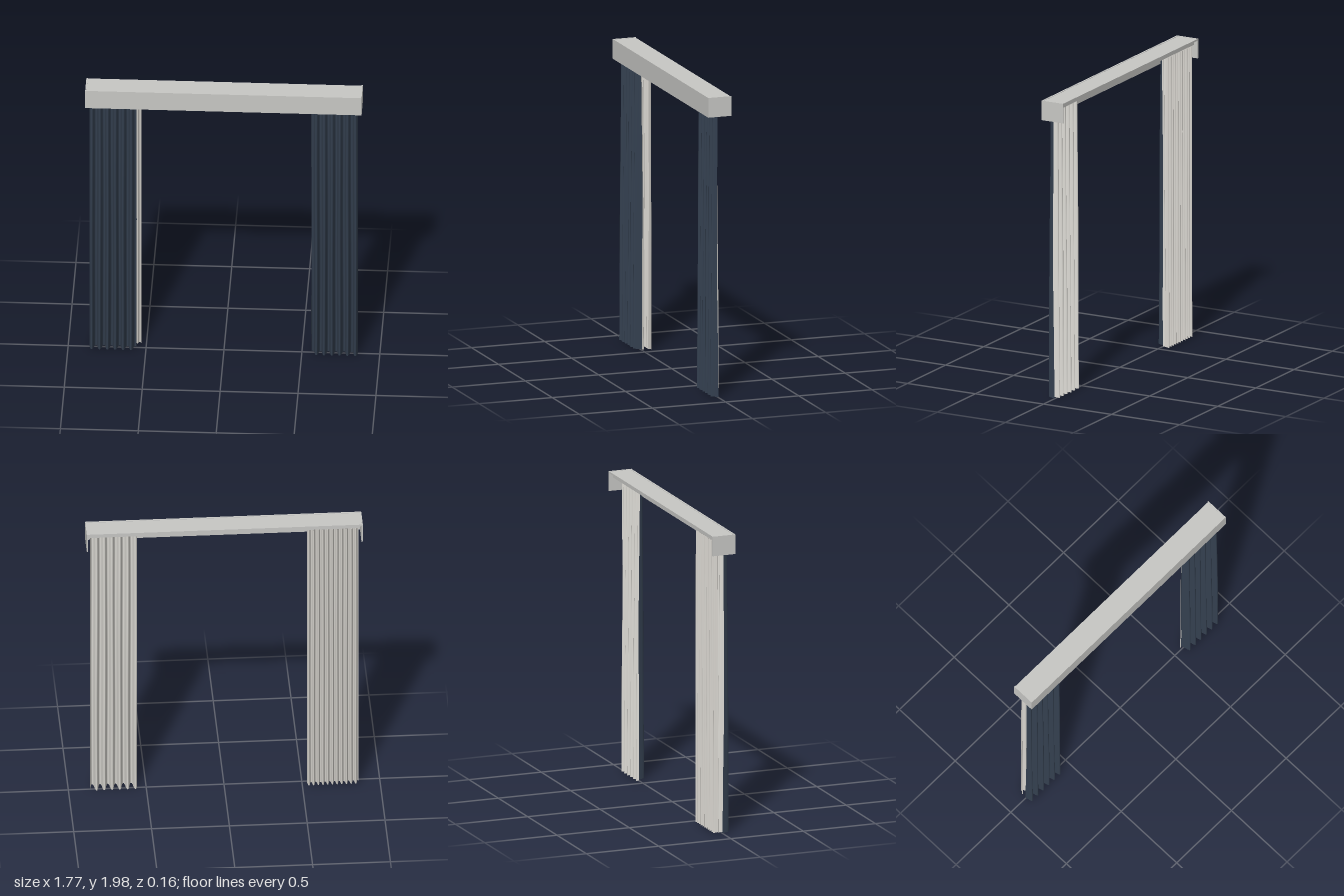
import * as THREE from 'three';

const boxMaterial = new THREE.MeshStandardMaterial({ color: 0xc8c8c5 });
boxMaterial.name = 'pelmet grey';
const fabricMaterial = new THREE.MeshStandardMaterial({ color: 0x344050 });
fabricMaterial.name = 'navy fabric';
const liningMaterial = new THREE.MeshStandardMaterial({ color: 0xdedcd6 });
liningMaterial.name = 'lining white';
const sheerMaterial = new THREE.MeshStandardMaterial({ color: 0xd8d5cf, side: THREE.DoubleSide });
sheerMaterial.name = 'sheer white';

// Pleated sheet between two x positions; the folds deepen towards the hem
function pleatedSheet({ x0, x1, top, bottom, z, depthTop, depthBottom, folds, phase, mirror = false, reverse = false, offset = 0 }) {
  const cols = folds * 10, rows = 14;
  const geo = new THREE.PlaneGeometry(1, 1, cols, rows);
  const pos = geo.attributes.position;
  for (let i = 0; i < pos.count; i++) {
    const u = pos.getX(i) + 0.5;
    const d = 0.5 - pos.getY(i);
    const t = mirror ? 1 - u : u;
    const a = t * folds * Math.PI * 2 + phase;
    const drift = Math.sin(Math.PI * d) * 0.25 * Math.sin(t * 9 + d * 4);
    const wave = Math.sin(a + drift) + 0.08 * Math.sin(3 * a);
    const depth = THREE.MathUtils.lerp(depthTop, depthBottom, d);
    const hem = d * 0.004 * (1 + Math.sin(a));
    pos.setXYZ(i, THREE.MathUtils.lerp(x0, x1, u), THREE.MathUtils.lerp(top, bottom, d) + hem, z + offset + depth * wave);
  }
  if (reverse) {
    const index = geo.index;
    for (let i = 0; i < index.count; i += 3) {
      const b = index.getX(i + 1);
      index.setX(i + 1, index.getX(i + 2));
      index.setX(i + 2, b);
    }
  }
  geo.computeVertexNormals();
  return geo;
}

function addMesh(parent, name, geo, material) {
  const mesh = new THREE.Mesh(geo, material);
  mesh.name = name;
  parent.add(mesh);
  return mesh;
}

// Box given by its minimum and maximum corners
function addBox(parent, name, [ax, ay, az], [bx, by, bz]) {
  const mesh = addMesh(parent, name, new THREE.BoxGeometry(bx - ax, by - ay, bz - az), boxMaterial);
  mesh.position.set((ax + bx) / 2, (ay + by) / 2, (az + bz) / 2);
}

export function createModel() {
  const model = new THREE.Group();
  model.name = 'curtains';

  // Pelmet box, open below and behind
  const pelmet = new THREE.Group();
  pelmet.name = 'pelmet';
  model.add(pelmet);
  addBox(pelmet, 'pelmetFront', [-0.887, 1.87, 0.065], [0.887, 2, 0.077]);
  addBox(pelmet, 'pelmetTop', [-0.878, 1.986, -0.077], [0.878, 1.998, 0.065]);
  for (const s of [-1, 1]) {
    addBox(pelmet, 'pelmetEnd', [s * 0.8825 - 0.0045, 1.87, -0.08], [s * 0.8825 + 0.0045, 2, 0.065]);
  }

  // Front and rear rails
  for (const z of [0.015, -0.045]) {
    addBox(pelmet, 'rail', [-0.87, 1.97, z - 0.012], [0.87, 1.986, z + 0.012]);
    for (const s of [-1, 1]) {
      addBox(pelmet, 'railLip', [-0.87, 1.96, z + s * 0.009 - 0.003], [0.87, 1.97, z + s * 0.009 + 0.003]);
    }
  }

  // Lined curtains, drawn open to both sides
  for (const s of [-1, 1]) {
    const curtain = new THREE.Group();
    curtain.name = s > 0 ? 'leftCurtain' : 'rightCurtain';
    model.add(curtain);
    const shape = {
      x0: s > 0 ? 0.56 : -0.863, x1: s > 0 ? 0.86 : -0.56,
      top: 1.955, bottom: 0.018, z: 0.015, depthTop: 0.02, depthBottom: 0.035,
      folds: 6, phase: Math.PI + 0.4, mirror: s < 0,
    };
    addMesh(curtain, 'curtainFace', pleatedSheet(shape), fabricMaterial);
    addMesh(curtain, 'curtainLining', pleatedSheet({ ...shape, reverse: true, offset: -0.002 }), liningMaterial);
  }

  // Sheer curtain on the rear rail
  addMesh(model, 'sheerCurtain', pleatedSheet({
    x0: -0.863, x1: -0.532, top: 1.955, bottom: 0.022, z: -0.045,
    depthTop: 0.013, depthBottom: 0.016, folds: 11, phase: 0.6,
  }), sheerMaterial);

  return model;
}
